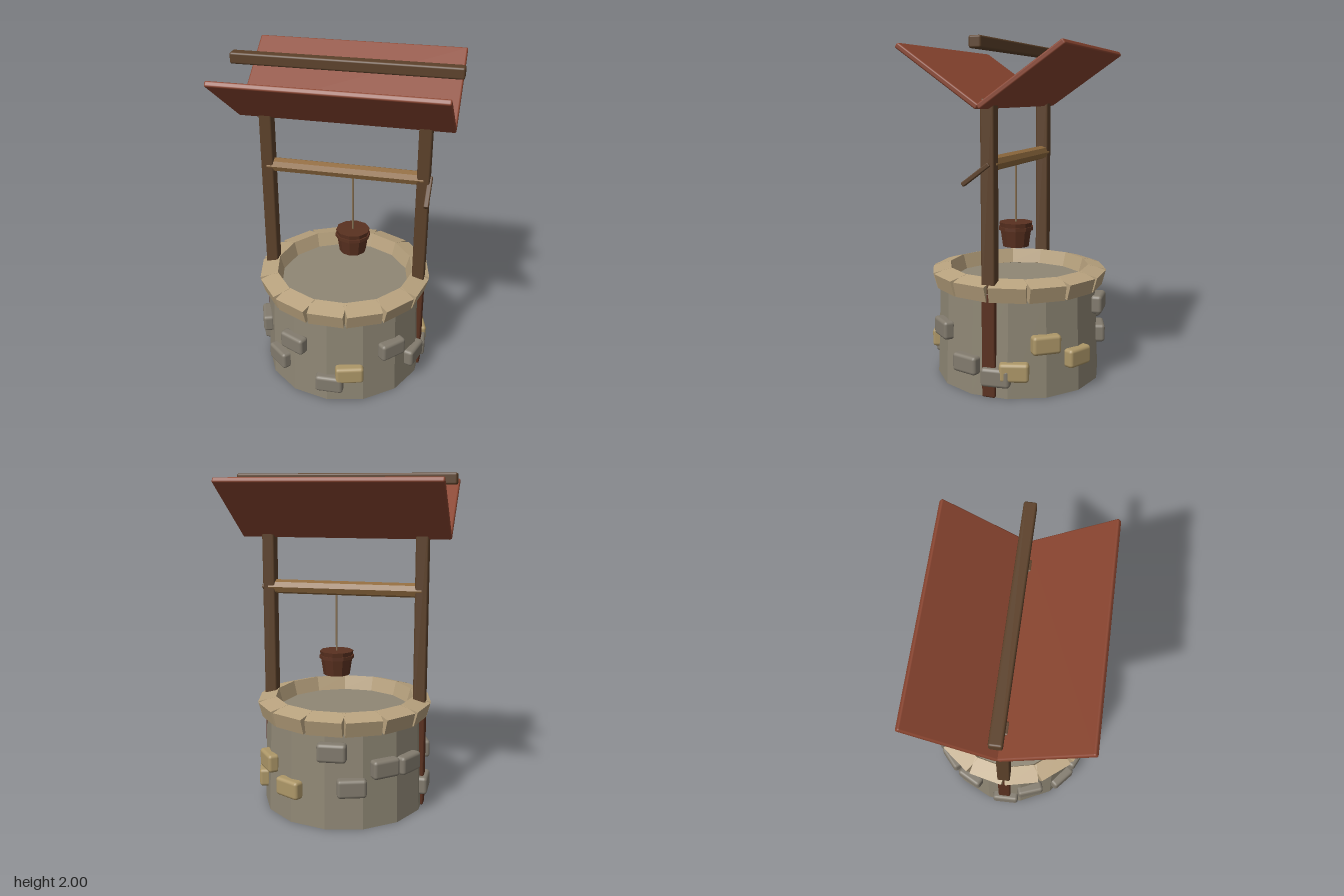
import * as THREE from 'three';
import { RoundedBoxGeometry } from 'three/addons/geometries/RoundedBoxGeometry.js';

function mat(name, color, flat = false) {
  const m = new THREE.MeshStandardMaterial({ color, flatShading: flat });
  m.name = name;
  return m;
}

export function createModel() {
  const wallStone = mat('wallStone', 0x8f8775, true);
  const greyStone = mat('greyStone', 0x827b6e);
  const tanStone = mat('tanStone', 0xad9768);
  const rimStone = mat('rimStone', 0xb8a27e);
  const darkWood = mat('darkWood', 0x5c412a);
  const redWood = mat('redWood', 0x5a3120, true);
  const axleWood = mat('axleWood', 0x8f6a3e, true);
  const roofRed = mat('roofRed', 0x8a4530);
  const ropeTan = mat('ropeTan', 0x8a7355);

  const model = new THREE.Group();
  const add = (name, geometry, material, x, y, z, parent = model) => {
    const mesh = new THREE.Mesh(geometry, material);
    mesh.name = name;
    mesh.position.set(x, y, z);
    parent.add(mesh);
    return mesh;
  };
  // Places a part on the round wall, angle in degrees from the front
  const around = (degrees) => {
    const holder = new THREE.Group();
    holder.rotation.y = THREE.MathUtils.degToRad(degrees);
    model.add(holder);
    return holder;
  };
  const rounded = (w, h, d, r) => new RoundedBoxGeometry(w, h, d, 2, r);

  // Round stone wall
  const SIDES = 14;
  add('wall', new THREE.CylinderGeometry(0.48, 0.5, 0.585, SIDES), wallStone, 0, 0.2925, 0);

  // Rim stones, leaning outward
  const rimGeometry = new THREE.BoxGeometry(0.212, 0.093, 0.112);
  for (let i = 0; i < SIDES; i++) {
    const stone = add('rimStone', rimGeometry, rimStone, 0, 0.618, 0.457, around((i * 360) / SIDES));
    stone.rotation.x = 0.27;
  }

  // Raised stones on the wall: angle, height, colour
  const stoneGeometry = rounded(0.17, 0.11, 0.07, 0.02);
  [
    [-25.5, 0.37, greyStone], [-41, 0.195, greyStone], [2, 0.135, greyStone],
    [16, 0.21, tanStone], [47.5, 0.337, greyStone], [73, 0.178, greyStone],
    [95, 0.125, greyStone], [107, 0.16, tanStone], [128, 0.315, tanStone],
    [153, 0.21, tanStone], [185, 0.465, greyStone], [198, 0.255, greyStone],
    [221, 0.355, greyStone], [242, 0.345, greyStone], [271, 0.135, greyStone],
    [290, 0.315, greyStone],
  ].forEach(([angle, y, material]) => add('wallStone', stoneGeometry, material, 0, y, 0.495, around(angle)));

  // Posts: dark above the rim, redder below
  for (const side of [-1, 1]) {
    add('post', rounded(0.075, 1.08, 0.08, 0.01), darkWood, side * 0.467, 1.14, 0);
    add('postFoot', rounded(0.075, 0.61, 0.08, 0.01), redWood, side * 0.467, 0.305, 0);
  }

  // Roof panels opening upward, and the beam above them
  for (const side of [-1, 1]) {
    const panel = add('roofPanel', rounded(1.265, 0.033, 0.572, 0.01), roofRed, 0, 1.799, side * 0.234);
    panel.rotation.x = -side * 0.611;
  }
  add('ridgeBeam', rounded(1.315, 0.066, 0.07, 0.012), darkWood, 0, 1.967, 0);

  // Axle and crank
  const axle = add('axle', new THREE.CylinderGeometry(0.043, 0.043, 0.94, 8), axleWood, 0, 1.325, 0);
  axle.rotation.z = Math.PI / 2;
  const crank = add('crank', rounded(0.03, 0.026, 0.2, 0.006), darkWood, 0.503, 1.27, 0.065);
  crank.rotation.x = 0.64;

  // Rope and bucket
  add('rope', new THREE.CylinderGeometry(0.006, 0.006, 0.38, 6), ropeTan, 0.05, 1.11, 0);
  add('bucket', new THREE.CylinderGeometry(0.103, 0.081, 0.147, 10), redWood, 0.05, 0.8675, 0);
  add('bucketBand', new THREE.CylinderGeometry(0.107, 0.107, 0.02, 10), redWood, 0.05, 0.905, 0);

  return model;
}
